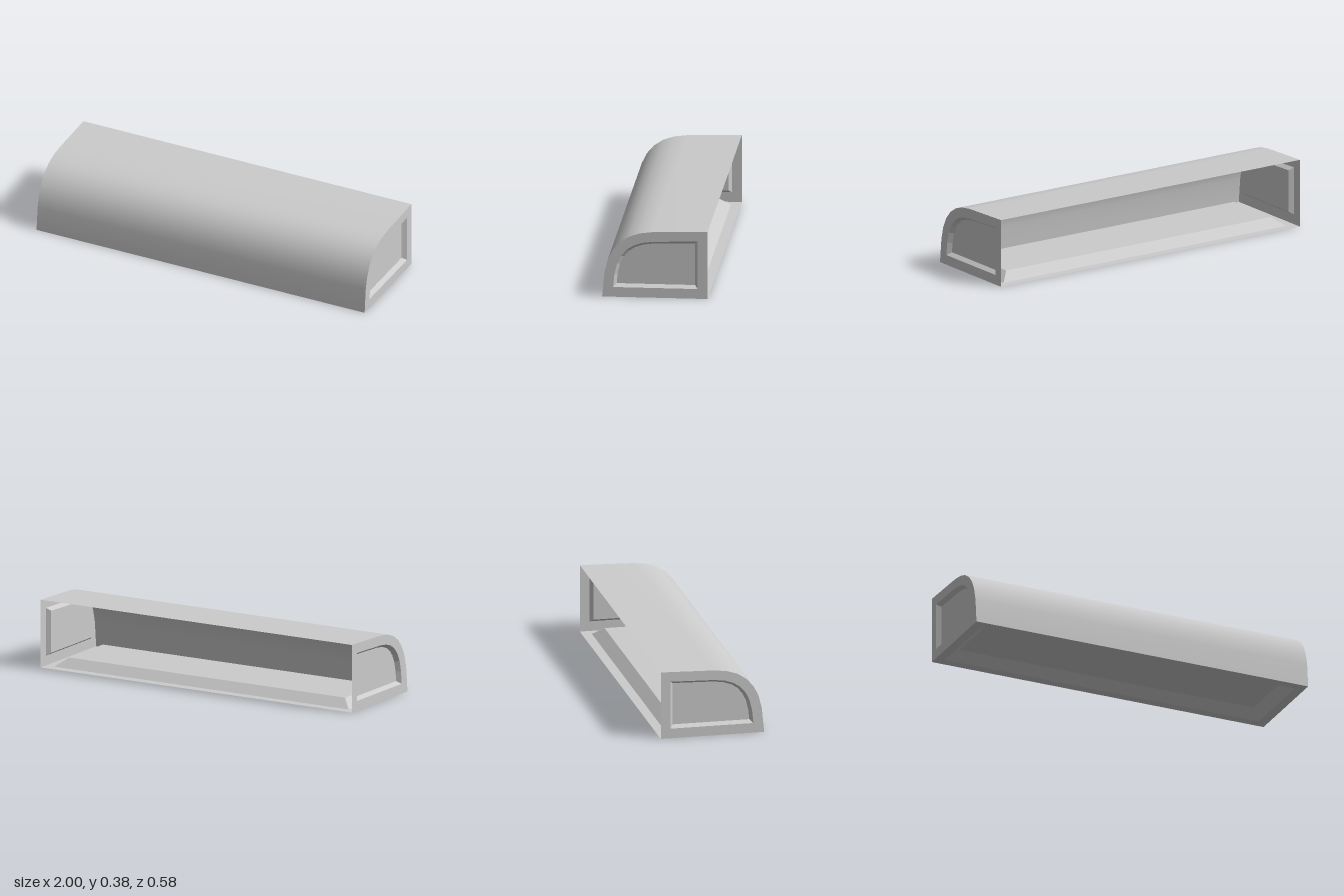
import * as THREE from 'three';

const material = new THREE.MeshStandardMaterial({ color: 0xcccccc, side: THREE.DoubleSide });

// Cross-section of the cover as [z, y], from the front foot over to the back edge
const profile = [
  [0.29, 0], [0.277, 0.137], [0.26, 0.207], [0.232, 0.264], [0.192, 0.31],
  [0.142, 0.343], [0.082, 0.363], [0.012, 0.372], [-0.29, 0.381],
];

// Moves every edge of a counter-clockwise polygon inwards by d
function inset(points, d) {
  const n = points.length;
  const normal = (a, b) => {
    const len = Math.hypot(b[0] - a[0], b[1] - a[1]);
    return [(a[1] - b[1]) / len, (b[0] - a[0]) / len];
  };
  return points.map((p, i) => {
    const n1 = normal(points[(i + n - 1) % n], p);
    const n2 = normal(p, points[(i + 1) % n]);
    const k = d / (1 + n1[0] * n2[0] + n1[1] * n2[1]);
    return [p[0] + (n1[0] + n2[0]) * k, p[1] + (n1[1] + n2[1]) * k];
  });
}

// Thin panel: flat rim, sloped step, sunken middle. place(u, v, depth) gives [x, y, z]
function recessedPanel(name, outline, rim, slope, depth, place) {
  const rimLoop = inset(outline, rim);
  const innerLoop = inset(outline, rim + slope);
  const loops = [[outline, 0], [rimLoop, 0], [innerLoop, depth]]
    .map(([loop, d]) => loop.map(([u, v]) => place(u, v, d)));
  const positions = [];
  const n = outline.length;
  for (let k = 0; k < 2; k++) {
    for (let i = 0; i < n; i++) {
      const j = (i + 1) % n;
      const [a, b, c, d] = [loops[k][i], loops[k][j], loops[k + 1][j], loops[k + 1][i]];
      positions.push(...a, ...b, ...c, ...a, ...c, ...d);
    }
  }
  const flat = innerLoop.map(([u, v]) => new THREE.Vector2(u, v));
  for (const face of THREE.ShapeUtils.triangulateShape(flat, [])) {
    for (const i of face) positions.push(...loops[2][i]);
  }
  const geometry = new THREE.BufferGeometry();
  geometry.setAttribute('position', new THREE.Float32BufferAttribute(positions, 3));
  geometry.computeVertexNormals();
  const mesh = new THREE.Mesh(geometry, material);
  mesh.name = name;
  return mesh;
}

// Smooth curved sheet forming the front and top, open at the back
function curvedCover() {
  const positions = [];
  const index = [];
  profile.forEach(([z, y], i) => {
    positions.push(-1, y, z, 1, y, z);
    const a = 2 * i;
    if (i < profile.length - 1) index.push(a, a + 1, a + 3, a, a + 3, a + 2);
  });
  const geometry = new THREE.BufferGeometry();
  geometry.setAttribute('position', new THREE.Float32BufferAttribute(positions, 3));
  geometry.setIndex(index);
  geometry.computeVertexNormals();
  const mesh = new THREE.Mesh(geometry, material);
  mesh.name = 'curvedCover';
  return mesh;
}

export function createModel() {
  const group = new THREE.Group();
  group.name = 'curvedHousing';
  group.add(curvedCover());

  // End walls
  const end = [...profile, [-0.29, 0]];
  const mirroredEnd = end.map(([z, y]) => [-z, y]).reverse();
  group.add(recessedPanel('rightEnd', end, 0.055, 0.016, 0.025, (u, v, d) => [-1 + d, v, u]));
  group.add(recessedPanel('leftEnd', mirroredEnd, 0.055, 0.016, 0.025, (u, v, d) => [1 - d, v, -u]));

  // Floor, its middle raised into the housing
  const floor = [[-1, -0.29], [1, -0.29], [1, 0.29], [-1, 0.29]];
  group.add(recessedPanel('floor', floor, 0.055, 0.058, 0.047, (u, v, d) => [u, d, v]));

  return group;
}
